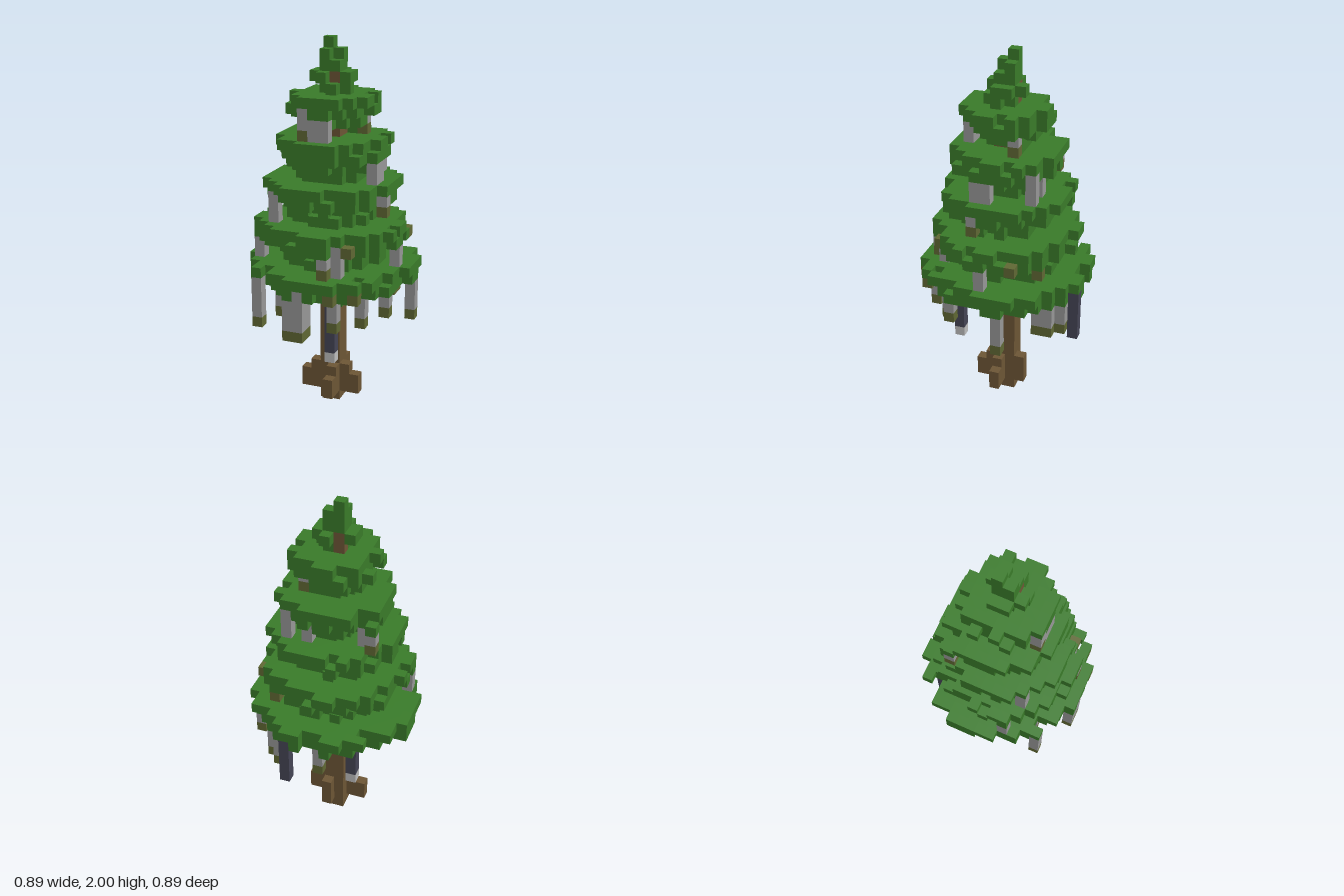
import * as THREE from 'three';
import { mergeGeometries } from 'three/addons/utils/BufferGeometryUtils.js';

const U = 2 / 36; // edge of one block

const makeMaterial = (name, color) => {
  const m = new THREE.MeshStandardMaterial({ color });
  m.name = name;
  return m;
};

// repeatable value in -0.5..0.5 for a block position
function jitter(x, y, z) {
  const s = Math.sin(x * 12.99 + y * 78.23 + z * 37.72) * 43758.55;
  return s - Math.floor(s) - 0.5;
}

// six faces of a block, each a plane turned outward
const FACES = [
  [0, 0, 1, 0, 0], [0, 0, -1, 0, Math.PI],
  [1, 0, 0, 0, Math.PI / 2], [-1, 0, 0, 0, -Math.PI / 2],
  [0, 1, 0, -Math.PI / 2, 0], [0, -1, 0, Math.PI / 2, 0],
].map(([x, y, z, rx, ry]) => ({
  dir: [x, y, z],
  plane: new THREE.PlaneGeometry(U, U).rotateX(rx).rotateY(ry)
    .translate(x * U / 2, y * U / 2, z * U / 2),
}));

export function createModel() {
  const tree = new THREE.Group();
  tree.name = 'tree';
  const materials = {
    foliage: makeMaterial('needle green', 0x397a29),
    trunk: makeMaterial('bark brown', 0x6c5535),
    hangingMoss: makeMaterial('moss grey', 0x959595),
    mossTips: makeMaterial('olive', 0x5f6733),
    lanternRods: makeMaterial('dark slate', 0x444454),
    lanternTips: makeMaterial('pale grey', 0xbcbcbc),
  };

  // block store: the first part to claim a place keeps it
  const blocks = new Map();
  const key = (x, y, z) => `${x},${y},${z}`;
  const put = (part, x, y, z) => {
    if (!blocks.has(key(x, y, z))) blocks.set(key(x, y, z), { part, x, y, z });
  };
  const fill = (part, x0, x1, y0, y1, z0, z1) => {
    for (let x = x0; x < x1; x++)
      for (let y = y0; y < y1; y++)
        for (let z = z0; z < z1; z++) put(part, x, y, z);
  };

  // trunk with bare spots near the top
  fill('trunk', -1, 1, 0, 31, -1, 1);
  fill('trunk', 0, 1, 31, 33, 0, 1);
  fill('trunk', -1, 0, 31, 33, -1, 0);

  // roots: outer part two blocks high, inner part three
  fill('trunk', -3, -1, 1, 3, 0, 1);
  fill('trunk', -2, -1, 3, 4, 0, 1);
  fill('trunk', 1, 3, 1, 3, 0, 1);
  fill('trunk', 1, 2, 3, 4, 0, 1);
  fill('trunk', 0, 1, 1, 3, 1, 3);
  fill('trunk', 0, 1, 3, 4, 1, 2);
  fill('trunk', 0, 1, 1, 4, -2, -1);

  // hanging strands: x, z, bottom, top, has olive tip
  const strands = [
    [-6, 5, 9, 13, 1], [-4, 4, 10, 13, 1], [-2, 7, 9, 12, 1], [-1, 7, 9, 13, 1],
    [-1, 6, 9, 12, 1], [2, 6, 10, 12, 1], [4, 4, 10, 12, 1], [7, -2, 9, 12, 1],
    [6, 3, 11, 12, 1], [3, -7, 10, 12, 1], [4, -6, 10, 12, 1], [4, -5, 10, 12, 1],
    [-1, -7, 10, 12, 1],
    [6, 0, 15, 16, 0], [-7, 2, 15, 16, 0], [1, 6, 15, 16, 1], [2, 5, 15, 17, 0],
    [-5, 3, 19, 21, 0], [5, 1, 20, 21, 1],
    [4, 0, 23, 24, 0], [4, 1, 23, 24, 0], [3, -4, 23, 25, 0],
    [-5, -4, 23, 24, 1], [-4, -3, 23, 24, 0], [1, -4, 23, 24, 0],
    [-1, 3, 27, 28, 0], [0, 3, 27, 28, 0], [-2, 3, 27, 29, 1], [2, -2, 27, 29, 1],
  ];
  strands.forEach(([x, z, y0, y1, tip]) => {
    if (tip) put('mossTips', x, y0, z);
    fill('hangingMoss', x, x + 1, y0 + tip, y1 + 1, z, z + 1);
  });
  // each strand hangs from a block of needles
  strands.forEach(([x, z, , y1]) => put('foliage', x, y1 + 1, z));

  // single olive tips along the lower tiers
  [[4, 16, -5], [3, 17, 5], [6, 17, -3], [4, 13, 6], [2, 13, 7]]
    .forEach(([x, y, z]) => put('mossTips', x, y, z));

  // dark rods, two with pale tips
  fill('lanternTips', 1, 2, 6, 7, 4, 5);
  fill('lanternRods', 1, 2, 7, 12, 4, 5);
  fill('lanternTips', -4, -3, 9, 10, -6, -5);
  fill('lanternRods', -4, -3, 10, 13, -6, -5);
  fill('lanternRods', 2, 3, 9, 14, -8, -7);

  // widest tier: row z, then start and end along x
  [
    [-8, -3, -1], [-8, 1, 3], [-7, -5, 4], [-6, -4, 5], [-5, -7, 7], [-4, -7, 7],
    [-3, -8, 8], [-2, -8, 8], [-1, -8, 8], [0, -8, 8], [1, -8, 7], [2, -7, 7],
    [3, -7, 6], [4, -6, 6], [5, -6, -5], [5, -4, 4], [5, 5, 6], [6, -4, 5], [7, -2, 3],
  ].forEach(([z, x0, x1]) => {
    fill('foliage', x0, x1, 14, 15, z, z + 1);
    for (let x = x0; x < x1; x++) {
      if (Math.hypot(x + 0.5, z + 0.5) < 7.6 + jitter(x, 13, z)) put('foliage', x, 13, z);
    }
  });

  // remaining foliage layers: height and radius
  [
    [11, 3.2], [12, 4.5], [15, 4.8], [16, 4.6], [17, 6.6], [18, 6.7],
    [19, 3.7], [20, 3.6], [21, 5.7], [22, 6.0], [23, 3.1], [24, 3.6],
    [25, 4.7], [26, 5.0], [27, 1.9], [28, 2.9], [29, 3.6], [30, 3.8],
  ].forEach(([y, r]) => {
    const n = Math.round(r);
    for (let x = -n; x < n; x++) {
      for (let z = -n; z < n; z++) {
        const bare = y === 27 && x >= 1 && z >= -1 && z < 1;
        if (!bare && Math.hypot(x + 0.5, z + 0.5) < r + 0.9 * jitter(x, y, z)) put('foliage', x, y, z);
      }
    }
  });

  // crown
  fill('foliage', -1, 1, 31, 32, -1, 1);
  fill('foliage', 0, 1, 31, 32, 1, 2);
  fill('foliage', 1, 2, 31, 32, 0, 1);
  fill('foliage', -2, 2, 32, 33, -1, 1);
  fill('foliage', -1, 0, 32, 33, 1, 2);
  fill('foliage', 0, 1, 32, 33, -2, -1);
  fill('foliage', -1, 1, 33, 34, -1, 1);
  fill('foliage', -1, 0, 34, 36, -1, 0);
  fill('foliage', 0, 1, 34, 35, -1, 0);
  fill('foliage', -1, 0, 34, 35, 0, 1);

  // one mesh for each part, from the open faces of its blocks
  for (const [part, material] of Object.entries(materials)) {
    const faces = [];
    for (const b of blocks.values()) {
      if (b.part !== part) continue;
      for (const { dir, plane } of FACES) {
        if (blocks.has(key(b.x + dir[0], b.y + dir[1], b.z + dir[2]))) continue;
        faces.push(plane.clone().translate((b.x + 0.5) * U, (b.y + 0.5) * U, (b.z + 0.5) * U));
      }
    }
    const mesh = new THREE.Mesh(mergeGeometries(faces), material);
    mesh.name = part;
    tree.add(mesh);
  }
  return tree;
}
